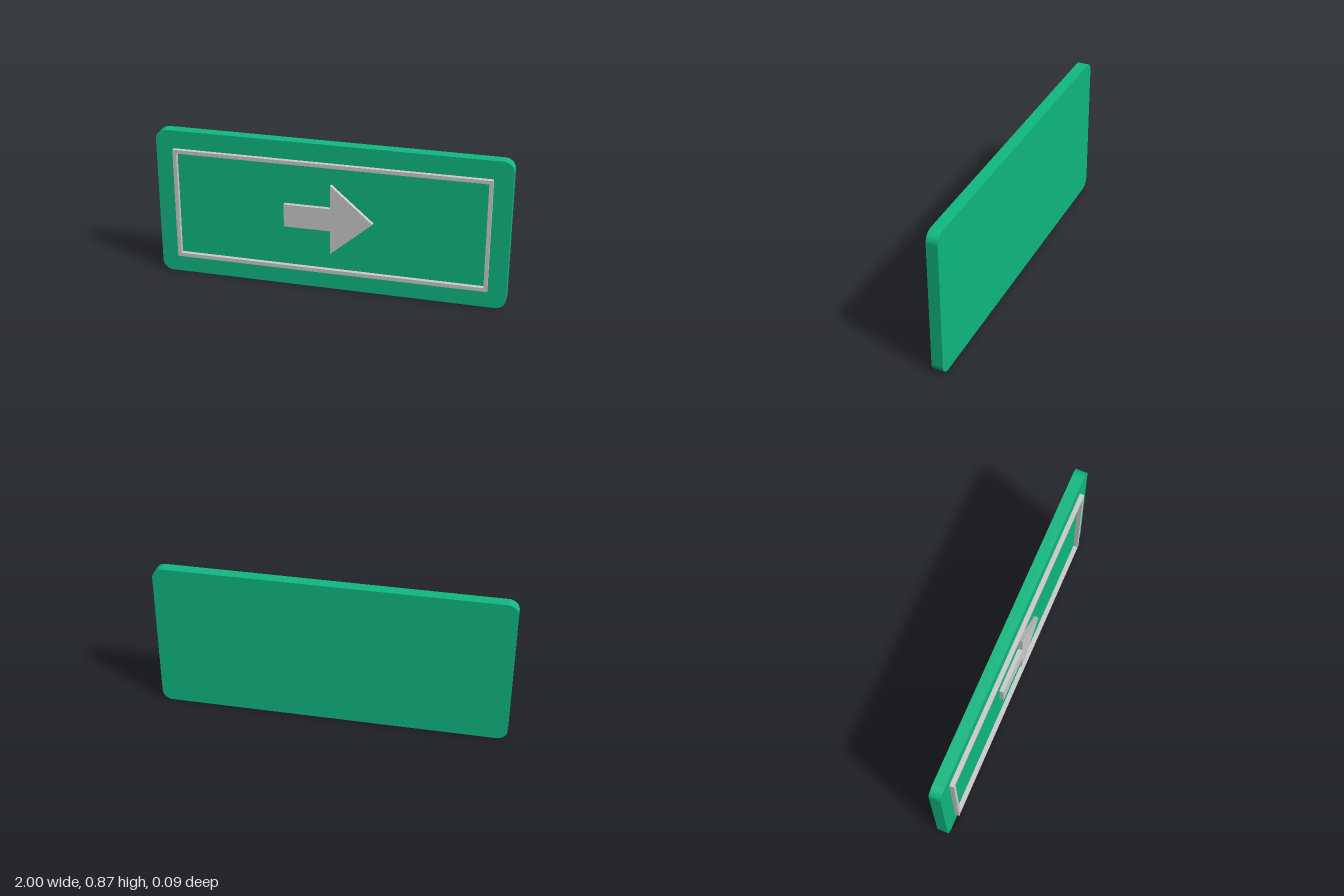
import * as THREE from 'three';

const WIDTH = 2, HEIGHT = 0.87, RADIUS = 0.06;
const BACK = -0.045, FACE = 0.02, FRONT = 0.045;

// Closed shape or hole through a list of [x, y] corners
const outline = (Type, points) => new Type(points.map(([x, y]) => new THREE.Vector2(x, y)));

const rectangle = (halfWidth, bottom, top) => [
  [-halfWidth, bottom], [halfWidth, bottom], [halfWidth, top], [-halfWidth, top],
];

function roundedRectangle(w, h, r) {
  const x = w / 2 - r;
  const shape = new THREE.Shape();
  shape.absarc(x, r, r, -Math.PI / 2, 0);
  shape.absarc(x, h - r, r, 0, Math.PI / 2);
  shape.absarc(-x, h - r, r, Math.PI / 2, Math.PI);
  shape.absarc(-x, r, r, Math.PI, Math.PI * 1.5);
  shape.closePath();
  return shape;
}

// Flat part running from z0 to z1
function plate(name, shape, z0, z1, color) {
  const geometry = new THREE.ExtrudeGeometry(shape, { depth: z1 - z0, bevelEnabled: false, curveSegments: 10 });
  geometry.translate(0, 0, z0);
  const mesh = new THREE.Mesh(geometry, new THREE.MeshStandardMaterial({ color }));
  mesh.name = name;
  return mesh;
}

export function createModel() {
  const group = new THREE.Group();
  group.name = 'directionSign';

  // Green board with rounded corners
  group.add(plate('board', roundedRectangle(WIDTH, HEIGHT, RADIUS), BACK, FACE, 0x10b981));

  // Thin raised border
  const border = outline(THREE.Shape, rectangle(0.896, 0.106, 0.765));
  border.holes.push(outline(THREE.Path, rectangle(0.875, 0.128, 0.744).reverse()));
  group.add(plate('border', border, FACE, FRONT, 0xcccccc));

  // Raised arrow pointing to +x
  const arrow = outline(THREE.Shape, [
    [-0.255, 0.369], [0.011, 0.369], [0.011, 0.229], [0.25, 0.436],
    [0.011, 0.643], [0.011, 0.503], [-0.255, 0.503],
  ]);
  group.add(plate('arrow', arrow, FACE, FRONT, 0xcccccc));

  return group;
}
